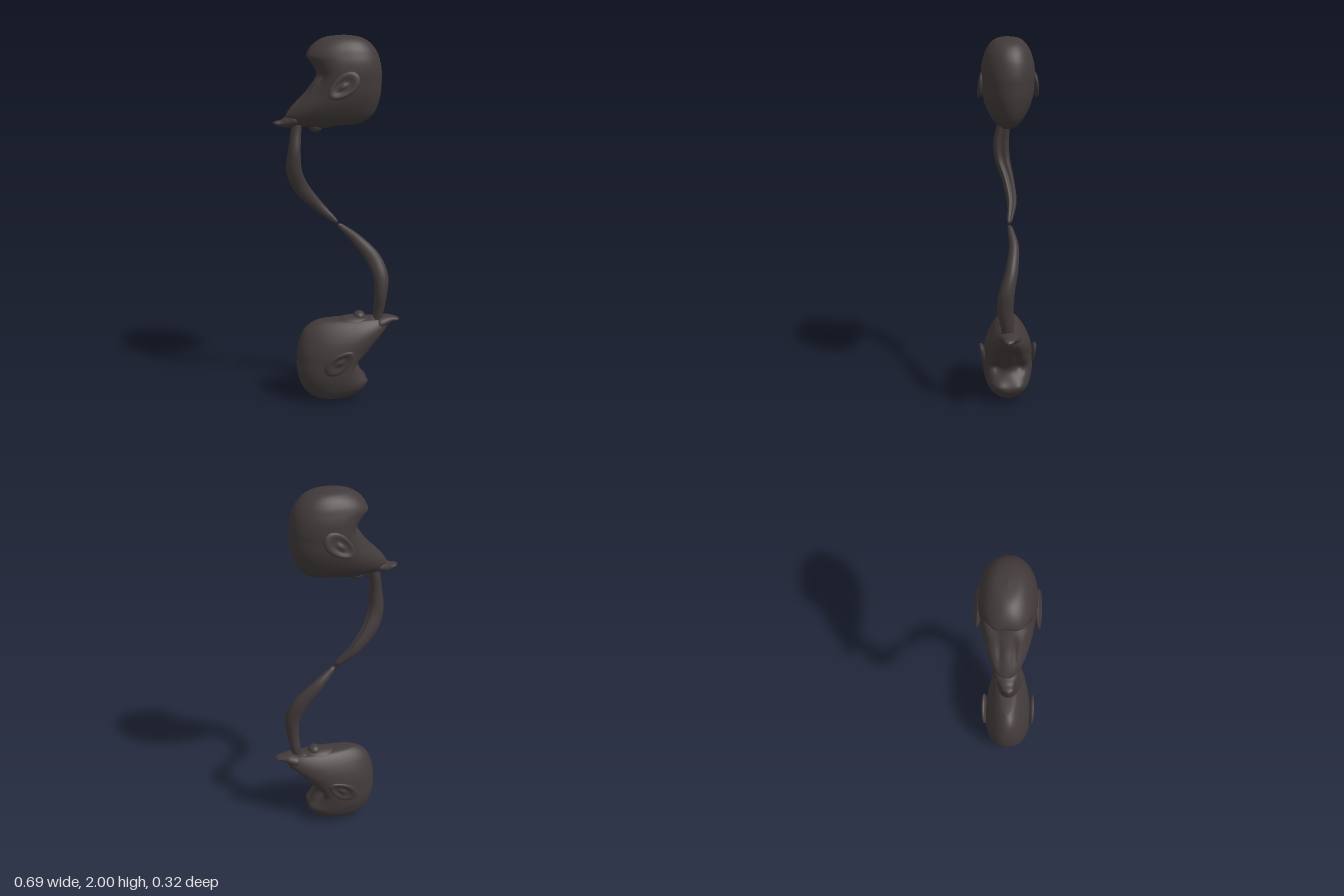
import * as THREE from 'three';

const skin = new THREE.MeshStandardMaterial({ color: 0x423a3a });
skin.name = 'dark skin';

// Smoothly samples a table of rows at t in 0..1 (Catmull-Rom per column)
function sample(rows, t) {
  const f = t * (rows.length - 1), i = Math.min(Math.floor(f), rows.length - 2), u = f - i;
  const at = k => rows[Math.max(0, Math.min(rows.length - 1, k))];
  return rows[0].map((_, c) => {
    const a = at(i - 1)[c], b = at(i)[c], d = at(i + 1)[c], e = at(i + 2)[c];
    return b + 0.5 * u * (d - a + u * (2 * a - 5 * b + 4 * d - e + u * (3 * (b - d) + e - a)));
  });
}

// Skin over closed rings: point(t, angle) gives [x, y, z]
function loft(point, steps, sides) {
  const pos = [], idx = [];
  for (let i = 0; i <= steps; i++) {
    for (let j = 0; j < sides; j++) {
      pos.push(...point(i / steps, j / sides * Math.PI * 2));
      if (i === steps) continue;
      const a = i * sides + j, b = i * sides + (j + 1) % sides;
      idx.push(a, b, a + sides, b, b + sides, a + sides);
    }
  }
  const g = new THREE.BufferGeometry();
  g.setAttribute('position', new THREE.Float32BufferAttribute(pos, 3));
  g.setIndex(idx);
  g.computeVertexNormals();
  return g;
}

function add(group, name, geometry) {
  const m = new THREE.Mesh(geometry, skin);
  m.name = name;
  group.add(m);
  return m;
}

// Rows: x, y, z, in-plane radius, z radius. Groove dents the +n side.
function strand(rows, groove = 0, steps = 48) {
  return loft((t, a) => {
    const [x, y, z, rn, rz] = sample(rows, t);
    const p = sample(rows, Math.max(0, t - 0.02)), q = sample(rows, Math.min(1, t + 0.02));
    const len = Math.hypot(q[0] - p[0], q[1] - p[1]);
    const nx = -(q[1] - p[1]) / len, ny = (q[0] - p[0]) / len;
    const dent = 1 - groove * Math.exp(-Math.pow(Math.sin(a) / 0.35, 2)) * (Math.cos(a) > 0 ? 1 : 0);
    const c = Math.cos(a) * Math.max(rn, 0) * dent;
    return [x + nx * c, y + ny * c, z + Math.sin(a) * Math.max(rz, 0)];
  }, steps, 28);
}

const bump = (v, c, w) => Math.exp(-Math.pow((v - c) / w, 2));

// Rows from crown to jaw: y, face x, back x, half width, widest x, face squareness
const HEAD = [
  [2.0, 0.02, 0.04, 0, 0.03, 2],
  [1.992, -0.06, 0.105, 0.055, 0.03, 2],
  [1.97, -0.11, 0.155, 0.088, 0.03, 2.1],
  [1.935, -0.148, 0.19, 0.112, 0.03, 2.3],
  [1.9, -0.16, 0.21, 0.125, 0.03, 2.4],
  [1.86, -0.138, 0.222, 0.135, 0.03, 2.4],
  [1.81, -0.115, 0.23, 0.139, 0.02, 2.4],
  [1.77, -0.128, 0.23, 0.137, 0.01, 2.3],
  [1.71, -0.172, 0.227, 0.132, 0, 2.2],
  [1.66, -0.222, 0.217, 0.122, -0.03, 2.2],
  [1.62, -0.258, 0.204, 0.108, -0.06, 2.2],
  [1.585, -0.278, 0.183, 0.09, -0.08, 2.2],
  [1.555, -0.28, 0.145, 0.068, -0.09, 2.1],
  [1.538, -0.25, 0.09, 0.045, -0.1, 2],
  [1.532, -0.1, -0.08, 0, -0.09, 2]
];

function headPoint(t, a) {
  const [y, xl, xr, w, xm, e] = sample(HEAD, t);
  const c = Math.cos(a), s = Math.sin(a);
  const p = 2 / (c < 0 ? e : 2.2);
  let x = xm + Math.sign(c) * Math.pow(Math.abs(c), p) * (c < 0 ? xm - xl : xr - xm);
  const z = Math.sign(s) * Math.pow(Math.abs(s), p) * Math.max(w, 0);
  if (c < 0) {
    const az = Math.abs(z);
    x += 0.028 * bump(y, 1.795, 0.035) * bump(az, 0.06, 0.03);       // eye sockets
    x -= 0.012 * bump(y, 1.885, 0.025) * bump(az, 0.06, 0.035);      // brow ridge
    x += 0.016 * bump(y, 1.68, 0.06) * bump(az, 0.035, 0.013);       // furrows beside the nose
    x -= 0.008 * bump(y, 1.71, 0.04) * bump(az, 0.075, 0.02);        // cheek bones
  }
  return [x, y, z];
}

// Dished ear: flattened ball, hollowed on its outer side
function earGeometry() {
  const g = new THREE.SphereGeometry(1, 40, 32), p = g.attributes.position;
  for (let i = 0; i < p.count; i++) {
    const x = p.getX(i), y = p.getY(i), z = p.getZ(i), r = Math.hypot(x + 0.05, y);
    const dish = z > 0 ? 0.02 * bump(r, 0.3, 0.4) - 0.004 * bump(r, 0.15, 0.15) : 0;
    p.setXYZ(i, x * 0.095, y * (0.055 + 0.012 * x), z * 0.022 - dish);
  }
  g.computeVertexNormals();
  return g;
}

function createBust() {
  const bust = new THREE.Group();
  add(bust, 'head', loft(headPoint, 110, 96));

  // Ears, mirrored front to back
  for (const side of [1, -1]) {
    const holder = new THREE.Group();
    holder.name = side > 0 ? 'frontEar' : 'backEar';
    const ear = add(holder, 'ear', earGeometry());
    ear.position.set(0.01, 1.748, 0.144);
    ear.rotation.set(-0.16, -0.06, 0.65, 'XYZ');
    if (side < 0) holder.rotation.y = Math.PI;
    if (side < 0) {
      // half turn plus a flipped pose puts the ear on the far side
      ear.position.x = -0.01;
      ear.rotation.set(-0.16, 0.06, Math.PI - 0.65, 'XYZ');
    }
    bust.add(holder);
  }

  // Pouting upper lip with an upturned tip
  add(bust, 'upperLip', strand([
    [-0.19, 1.575, 0, 0, 0],
    [-0.22, 1.57, 0, 0.032, 0.058],
    [-0.265, 1.556, 0, 0.03, 0.052],
    [-0.3, 1.549, 0.003, 0.018, 0.034],
    [-0.33, 1.551, 0.008, 0.011, 0.024],
    [-0.345, 1.553, 0.01, 0, 0]
  ]));

  // Lower jaw and chin
  for (const [name, x, y, rx, ry, rz] of [
    ['jaw', -0.09, 1.565, 0.12, 0.045, 0.065],
    ['chin', -0.118, 1.53, 0.035, 0.032, 0.038],
    ['lowerLip', -0.185, 1.55, 0.04, 0.022, 0.045]
  ]) {
    const m = add(bust, name, new THREE.SphereGeometry(1, 32, 24));
    m.position.set(x, y, 0);
    m.scale.set(rx, ry, rz);
  }

  // Long curling tongue
  add(bust, 'tongue', strand([
    [-0.21, 1.57, 0.01, 0.024, 0.03],
    [-0.222, 1.5, 0.013, 0.03, 0.036],
    [-0.232, 1.4, 0.025, 0.036, 0.044],
    [-0.232, 1.3, 0.015, 0.044, 0.042],
    [-0.19, 1.2, -0.012, 0.044, 0.034],
    [-0.105, 1.1, -0.028, 0.032, 0.027],
    [-0.03, 1.03, -0.016, 0.019, 0.017],
    [-0.008, 1.01, -0.01, 0.012, 0.011],
    [0, 1.003, -0.008, 0, 0]
  ], 0.4, 72));
  return bust;
}

export function createModel() {
  const model = new THREE.Group();
  model.name = 'joinedHeads';
  const upper = createBust();
  upper.name = 'upperHead';
  // The lower head is the upper one turned half round, tongue tips meeting
  const lower = createBust();
  lower.name = 'lowerHead';
  lower.rotation.z = Math.PI;
  lower.position.y = 2;
  model.add(upper, lower);
  return model;
}
